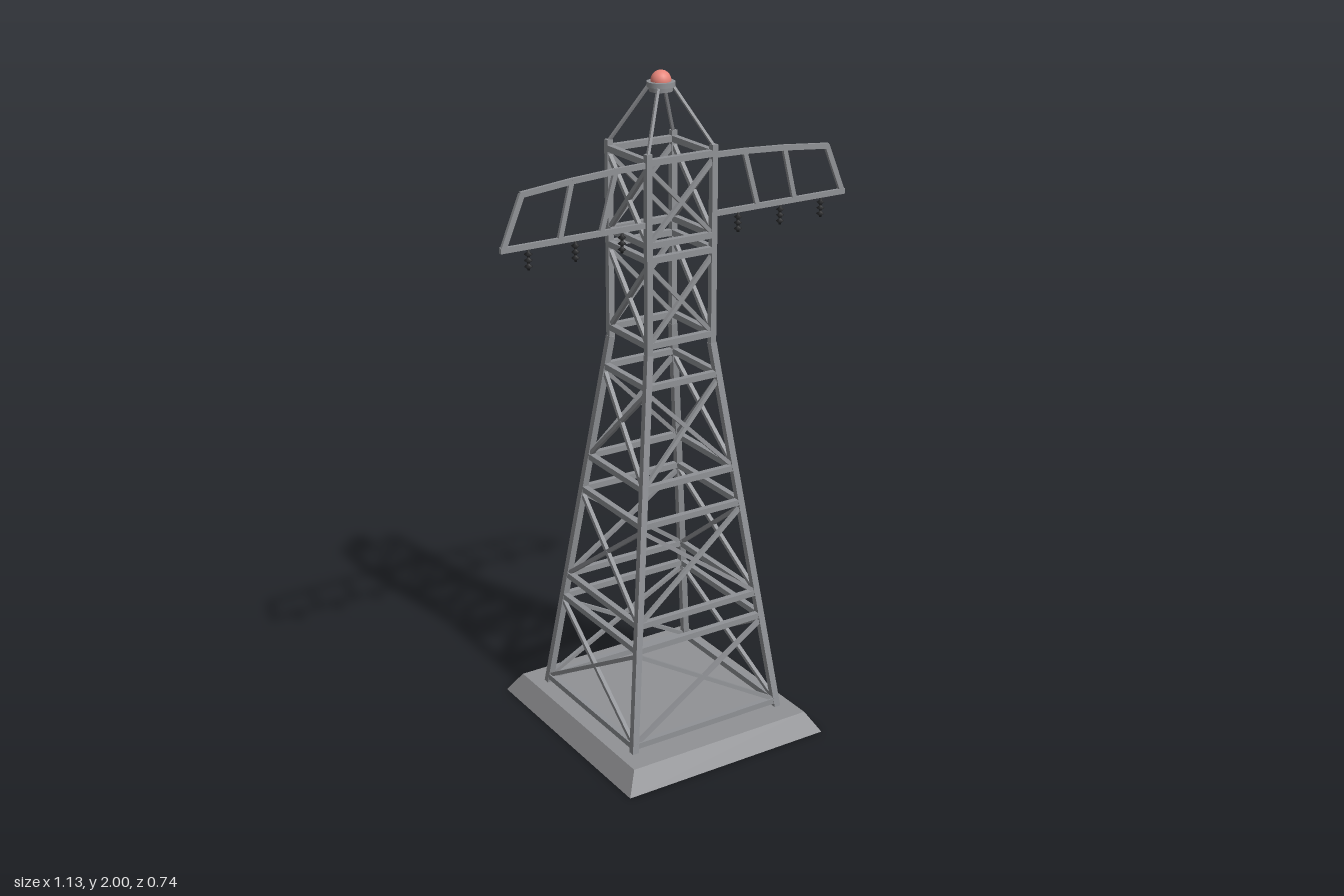
import * as THREE from 'three';

const flat = (name, color) => {
  const m = new THREE.MeshStandardMaterial({ color });
  m.name = name;
  return m;
};

export function createModel() {
  const steel = flat('steel', 0x909296);
  const concrete = flat('concrete', 0x919295);
  const beacon = flat('beaconRed', 0xe8867b);
  const ceramic = flat('darkCeramic', 0x2a2b2d);

  const model = new THREE.Group();
  model.name = 'latticeTower';
  const tower = new THREE.Group();
  tower.name = 'tower';
  tower.position.x = -0.003;
  model.add(tower);

  const add = (parent, name, geo, mat, x = 0, y = 0, z = 0) => {
    const mesh = new THREE.Mesh(geo, mat);
    mesh.name = name;
    mesh.position.set(x, y, z);
    parent.add(mesh);
    return mesh;
  };

  // Square bar between two points
  const up = new THREE.Vector3(0, 1, 0);
  const beam = (parent, name, a, b, w, d = w) => {
    const p = new THREE.Vector3(...a), q = new THREE.Vector3(...b);
    const dir = q.clone().sub(p);
    const mesh = add(parent, name, new THREE.BoxGeometry(w, dir.length(), d), steel);
    mesh.position.copy(p).add(q).multiplyScalar(0.5);
    mesh.quaternion.setFromUnitVectors(up, dir.normalize());
  };

  // Tapered footing: a box with its upper corners drawn in
  const footing = new THREE.BoxGeometry(0.684, 0.062, 0.744);
  const pos = footing.attributes.position;
  for (let i = 0; i < pos.count; i++) {
    if (pos.getY(i) > 0) {
      pos.setX(i, Math.sign(pos.getX(i)) * 0.304);
      pos.setZ(i, Math.sign(pos.getZ(i)) * 0.333);
    }
  }
  footing.computeVertexNormals();
  add(tower, 'footing', footing, concrete, 0, 0.031, 0);

  // Leg centre line: tapering up to the bend, then upright
  const BEND = 1.22, SHOULDER = 1.8;
  const halfWidth = (y) => {
    const t = Math.min(1, (y - 0.06) / (BEND - 0.06));
    return { x: 0.255 + (0.107 - 0.255) * t, z: 0.253 + (0.103 - 0.253) * t };
  };
  const corner = (y, sx, sz) => {
    const h = halfWidth(y);
    return [sx * h.x, y, sz * h.z];
  };

  // Legs and the spire rods above them
  const corners = [[1, 1], [1, -1], [-1, -1], [-1, 1]];
  for (const [sx, sz] of corners) {
    beam(tower, 'lowerLeg', corner(0.058, sx, sz), corner(BEND + 0.002, sx, sz), 0.02);
    beam(tower, 'upperLeg', corner(BEND, sx, sz), corner(SHOULDER, sx, sz), 0.018);
    beam(tower, 'spireRod', corner(SHOULDER - 0.005, sx, sz), [sx * 0.025, 1.955, sz * 0.025], 0.008);
  }

  // Braced panels: two horizontals and a cross on each of the four faces
  const panels = [[0.082, 0.368], [0.442, 0.733], [0.841, 1.13], [1.251, 1.5], [1.543, 1.776]];
  panels.forEach(([low, high]) => {
    const top = high - 0.016;
    corners.forEach((a, i) => {
      const b = corners[(i + 1) % 4];
      for (const y of [low, high]) beam(tower, 'horizontalBar', corner(y, ...a), corner(y, ...b), 0.018);
      beam(tower, 'crossBrace', corner(low, ...a), corner(top, ...b), 0.012);
      beam(tower, 'crossBrace', corner(low, ...b), corner(top, ...a), 0.012);
    });
  });

  // Cap and warning light
  add(tower, 'capCollar', new THREE.CylinderGeometry(0.035, 0.033, 0.018, 24), steel, 0, 1.951, 0);
  add(tower, 'capRim', new THREE.CylinderGeometry(0.04, 0.04, 0.014, 24), steel, 0, 1.962, 0);
  add(tower, 'warningLight', new THREE.SphereGeometry(0.029, 24, 16), beacon, 0, 1.971, 0);

  // Insulator string: three ribbed discs on a stem
  const profile = [[0, 0], [0.004, 0]];
  for (let i = 0; i < 3; i++) {
    const y = 0.004 + i * 0.017;
    profile.push([0.004, y], [0.012, y + 0.006], [0.004, y + 0.012]);
  }
  profile.push([0.004, 0.062], [0, 0.062]);
  const insulator = new THREE.LatheGeometry(profile.map(([r, y]) => new THREE.Vector2(r, y)), 8);

  // Two mirrored arms on the front face
  const Z = 0.099;
  for (const s of [1, -1]) {
    const arm = new THREE.Group();
    arm.name = s > 0 ? 'leftArm' : 'rightArm';
    model.add(arm);
    const bar = (name, x0, y0, x1, y1, w = 0.016) =>
      beam(arm, name, [s * x0, y0, Z], [s * x1, y1, Z], w, 0.01);
    bar('bottomChord', 0.1, 1.601, 0.566, 1.601);
    const chord = [[0.1, 1.769], [0.212, 1.766], [0.347, 1.758], [0.502, 1.743]];
    for (let i = 0; i < 3; i++) bar('topChord', ...chord[i], ...chord[i + 1]);
    bar('endStrut', 0.558, 1.6, 0.497, 1.745);
    bar('innerStrut', 0.387, 1.6, 0.347, 1.758, 0.014);
    bar('innerStrut', 0.258, 1.6, 0.21, 1.766, 0.014);
    for (const x of [0.192, 0.338, 0.482]) add(arm, 'insulator', insulator, ceramic, s * x, 1.535, Z);
  }

  return model;
}
